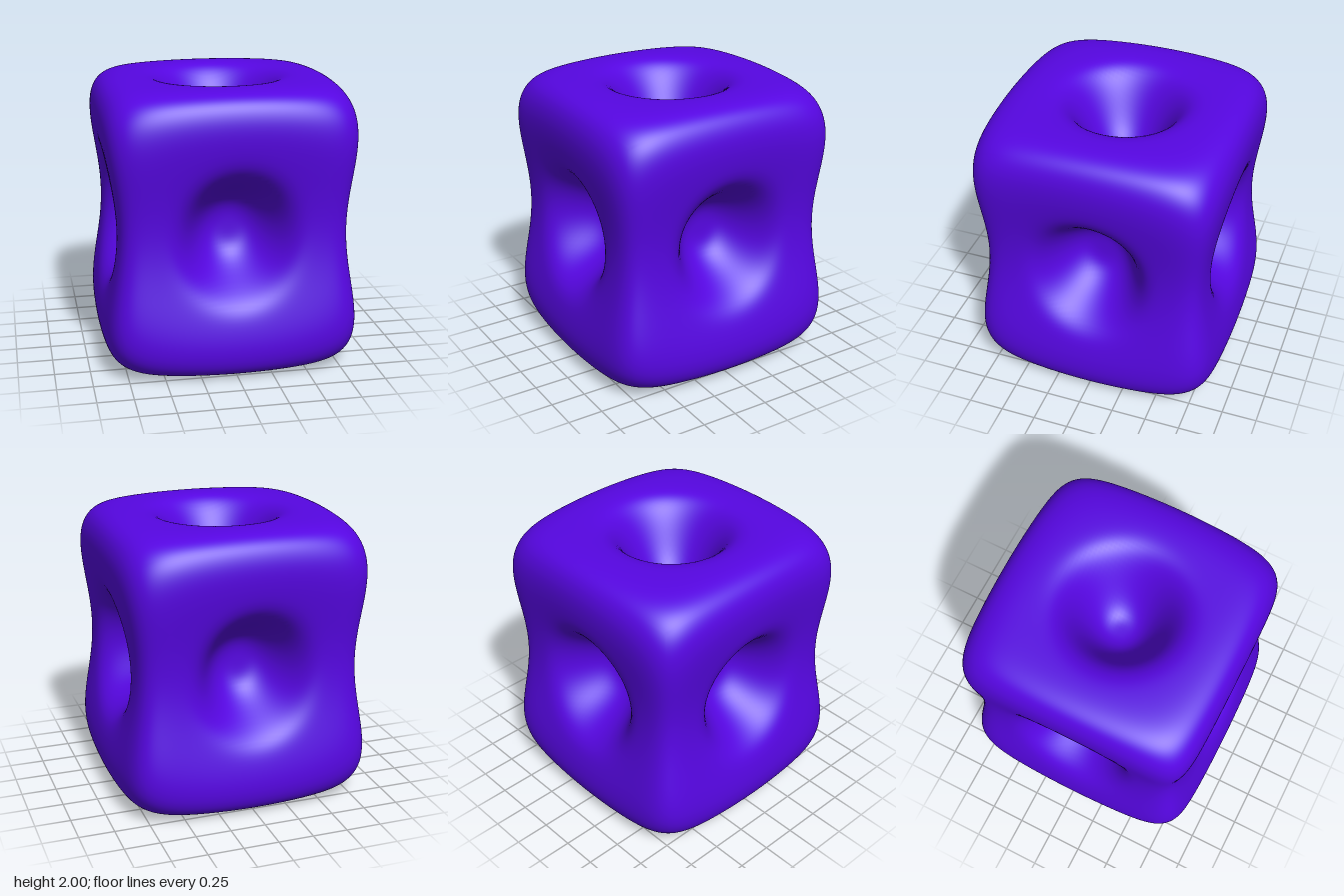
import * as THREE from 'three';
import { mergeVertices } from 'three/addons/utils/BufferGeometryUtils.js';

const HALF = [0.925, 1.028, 0.925]; // half sizes before the hollows are pressed in
const POWER = 7.5;                  // squareness of the rounded block
const CORNER_TRIM = 0.11;           // how far the eight corners are drawn in
const SEGMENTS = 72;

// Hollows per axis: shallow dish over the face, bowl depth, radius and wall steepness
const SIDE = { dish: 0.055, depth: 0.4, radius: 0.355, steep: 3.5 };
const CAP = { dish: 0.035, depth: 0.48, radius: 0.325, steep: 3.1 };
const HOLLOWS = [SIDE, CAP, SIDE];

// Moves a point of a cube (-1 to 1) onto the rounded, hollowed, waisted block
function shapePoint(p) {
  // soft superellipsoid with drawn-in corners, so the edges bow outwards
  const norm = Math.pow(p.reduce((sum, c) => sum + Math.pow(Math.abs(c), POWER), 0), 1 / POWER);
  const n = p.map((c) => c / norm);
  const trim = 1 - CORNER_TRIM * Math.pow(n[0] * n[1] * n[2], 2);
  const q = n.map((c, i) => c * HALF[i] * trim);

  // press a shallow dish and a deep bowl into each face
  const moved = q.map((c, i) => {
    const a = (i + 1) % 3, b = (i + 2) % 3;
    const { dish, depth, radius, steep } = HOLLOWS[i];
    const shallow = dish * (1 - n[a] * n[a]) * (1 - n[b] * n[b]);
    const bowl = depth * Math.exp(-Math.pow(Math.hypot(q[a], q[b]) / radius, steep));
    return c - Math.sign(c) * THREE.MathUtils.smoothstep(Math.abs(c), 0.3, 0.7) * (shallow + bowl);
  });

  // narrow the waist and taper slightly towards the top
  const t = THREE.MathUtils.clamp(q[1] / 0.84, -1, 1);
  const k = 1 - 0.053 * (1 + Math.cos(Math.PI * t)) - 0.0125 * q[1];
  return [moved[0] * k, moved[1] + 1, moved[2] * k];
}

export function createModel() {
  const group = new THREE.Group();
  group.name = 'dimpledBlock';

  let geometry = new THREE.BoxGeometry(2, 2, 2, SEGMENTS, SEGMENTS, SEGMENTS);
  geometry.deleteAttribute('uv');
  geometry.deleteAttribute('normal');
  geometry = mergeVertices(geometry, 1e-4);

  const pos = geometry.attributes.position;
  for (let i = 0; i < pos.count; i++) {
    pos.setXYZ(i, ...shapePoint([pos.getX(i), pos.getY(i), pos.getZ(i)]));
  }
  geometry.computeVertexNormals();

  const body = new THREE.Mesh(geometry, new THREE.MeshStandardMaterial({ color: 0x5606e2 }));
  body.name = 'body';
  group.add(body);
  return group;
}
